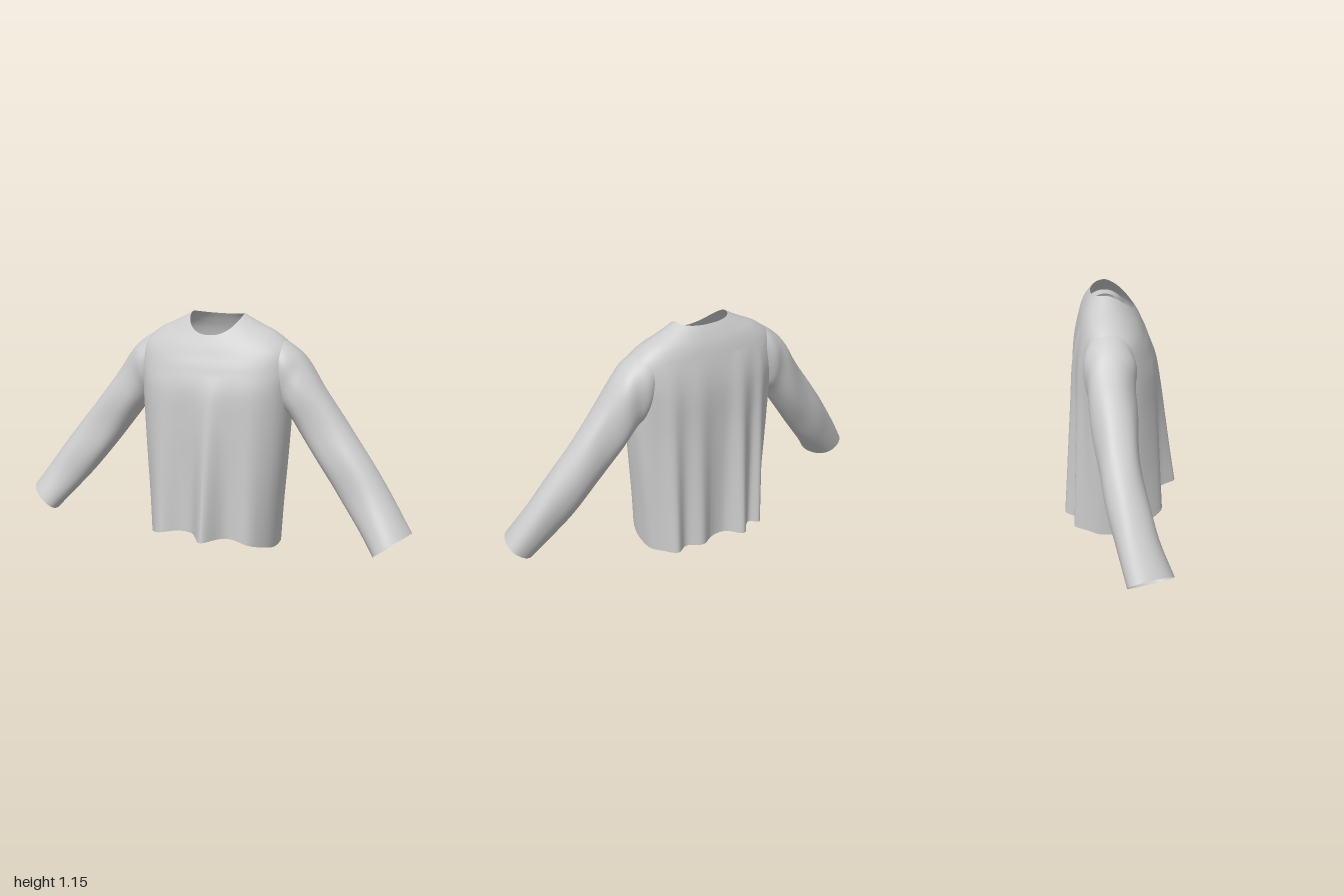
import * as THREE from 'three';

const cloth = new THREE.MeshStandardMaterial({ color: 0xcccccc, side: THREE.DoubleSide });

// Smooth (Catmull-Rom) interpolation of a list of section rows, t in 0..1
function sample(rows, t) {
  const f = t * (rows.length - 1);
  const i = Math.min(Math.floor(f), rows.length - 2);
  const u = f - i;
  const at = (k) => rows[Math.max(0, Math.min(rows.length - 1, k))];
  return rows[0].map((_, c) => {
    const [a, b, d, e] = [at(i - 1)[c], at(i)[c], at(i + 1)[c], at(i + 2)[c]];
    return b + 0.5 * u * (d - a + u * (2 * a - 5 * b + 4 * d - e + u * (3 * (b - d) + e - a)));
  });
}

// Open tube of closed rings; point(t, angle) gives [x, y, z]
function loft(name, rings, around, point, flip) {
  const pos = [], idx = [];
  for (let j = 0; j <= rings; j++) {
    for (let i = 0; i < around; i++) {
      pos.push(...point(j / rings, (i / around) * Math.PI * 2));
      if (j === rings) continue;
      const a = j * around + i, b = j * around + (i + 1) % around;
      const c = a + around, d = b + around;
      if (flip) idx.push(a, b, c, b, d, c);
      else idx.push(a, c, b, b, c, d);
    }
  }
  const geo = new THREE.BufferGeometry();
  geo.setAttribute('position', new THREE.Float32BufferAttribute(pos, 3));
  geo.setIndex(idx);
  geo.computeVertexNormals();
  const mesh = new THREE.Mesh(geo, cloth);
  mesh.name = name;
  return mesh;
}

const power = (v, p) => Math.sign(v) * Math.abs(v) ** p;
const bump = (v, centre, width) => Math.exp(-(((v - centre) / width) ** 2));

// Body, hem to neckline: half width, front z, back z, front y, side y, back y, roundness
const BODY = [
  [0.330, 0.172, -0.215, 0.090, 0.000, 0.018, 0.66],
  [0.343, 0.170, -0.217, 0.260, 0.220, 0.230, 0.68],
  [0.360, 0.170, -0.220, 0.450, 0.435, 0.440, 0.72],
  [0.374, 0.170, -0.223, 0.640, 0.640, 0.640, 0.76],
  [0.382, 0.163, -0.226, 0.800, 0.800, 0.800, 0.76],
  [0.390, 0.134, -0.220, 0.905, 0.900, 0.900, 0.76],
  [0.375, 0.108, -0.205, 0.965, 1.000, 0.990, 0.78],
  [0.305, 0.090, -0.188, 1.005, 1.066, 1.055, 0.80],
  [0.210, 0.074, -0.165, 1.035, 1.112, 1.105, 0.82],
  [0.135, 0.060, -0.145, 1.060, 1.152, 1.138, 0.85],
];
// Hanging folds: x centre, width, depth
const FRONT_FOLDS = [[0.045, 0.055, 0.125], [-0.22, 0.07, 0.05], [-0.11, 0.04, -0.008], [0.25, 0.06, 0.035]];
const BACK_FOLDS = [[-0.13, 0.05, 0.078], [0.1, 0.055, 0.045], [-0.26, 0.035, 0.055], [0.24, 0.045, 0.05]];

function bodyPoint(t, angle) {
  const [w, zF, zB, yF, yS, yB, p] = sample(BODY, t);
  const s = Math.sin(angle), zMid = -0.075;
  const x = w * power(Math.cos(angle), p);
  const front = s > 0;
  const y = yS + ((front ? yF : yB) - yS) * Math.abs(s) ** 1.35;
  const reach = Math.abs(power(s, p));
  let z = zMid + ((front ? zF : zB) - zMid) * reach;
  // Folds are deepest at the hem and fade toward the chest
  const fade = Math.max(0, 1 - y / (front ? 0.88 : 1.0)) ** (front ? 1.05 : 0.95);
  for (const [c, width, depth] of front ? FRONT_FOLDS : BACK_FOLDS) {
    z += (front ? 1 : -1) * depth * bump(x, c, width) * fade * Math.min(1, reach * 1.3);
  }
  return [x, y, z];
}

// Sleeve, shoulder to cuff: upper edge x y, lower edge x y, centre z, half depth
const SLEEVE = [
  [0.230, 1.050, 0.270, 0.820, -0.070, 0.085],
  [0.320, 1.045, 0.310, 0.765, -0.070, 0.108],
  [0.395, 1.005, 0.340, 0.725, -0.068, 0.116],
  [0.460, 0.942, 0.380, 0.685, -0.066, 0.112],
  [0.550, 0.812, 0.450, 0.590, -0.055, 0.102],
  [0.670, 0.655, 0.560, 0.445, -0.037, 0.094],
  [0.790, 0.500, 0.670, 0.305, -0.008, 0.090],
  [0.895, 0.350, 0.770, 0.190, 0.030, 0.093],
  [0.995, 0.200, 0.862, 0.085, 0.080, 0.103],
];

function sleevePoint(side) {
  return (t, angle) => {
    const [ux, uy, lx, ly, zc, hz] = sample(SLEEVE, t);
    // Soft diagonal creases, calm at both ends
    const calm = Math.sin(Math.PI * t);
    const crease = 1 + 0.04 * calm * Math.sin(t * 24 + angle * 2 + side) + 0.03 * calm * Math.sin(angle * 3 - t * 9);
    const c = power(Math.cos(angle), 0.9), s = power(Math.sin(angle), 0.9);
    const k = 0.5 * c * (1 + (crease - 1) * (1 - Math.abs(c)));
    const tilt = 0.035 * t * t * s; // cuff opening turns slightly forward
    return [
      side * ((ux + lx) / 2 + (ux - lx) * k - tilt),
      (uy + ly) / 2 + (uy - ly) * k,
      zc + hz * s * crease,
    ];
  };
}

export function createModel() {
  const shirt = new THREE.Group();
  shirt.name = 'longSleevedShirt';
  shirt.add(loft('body', 72, 240, bodyPoint, false));
  shirt.add(loft('leftSleeve', 72, 56, sleevePoint(1), false));
  shirt.add(loft('rightSleeve', 72, 56, sleevePoint(-1), true));
  return shirt;
}
